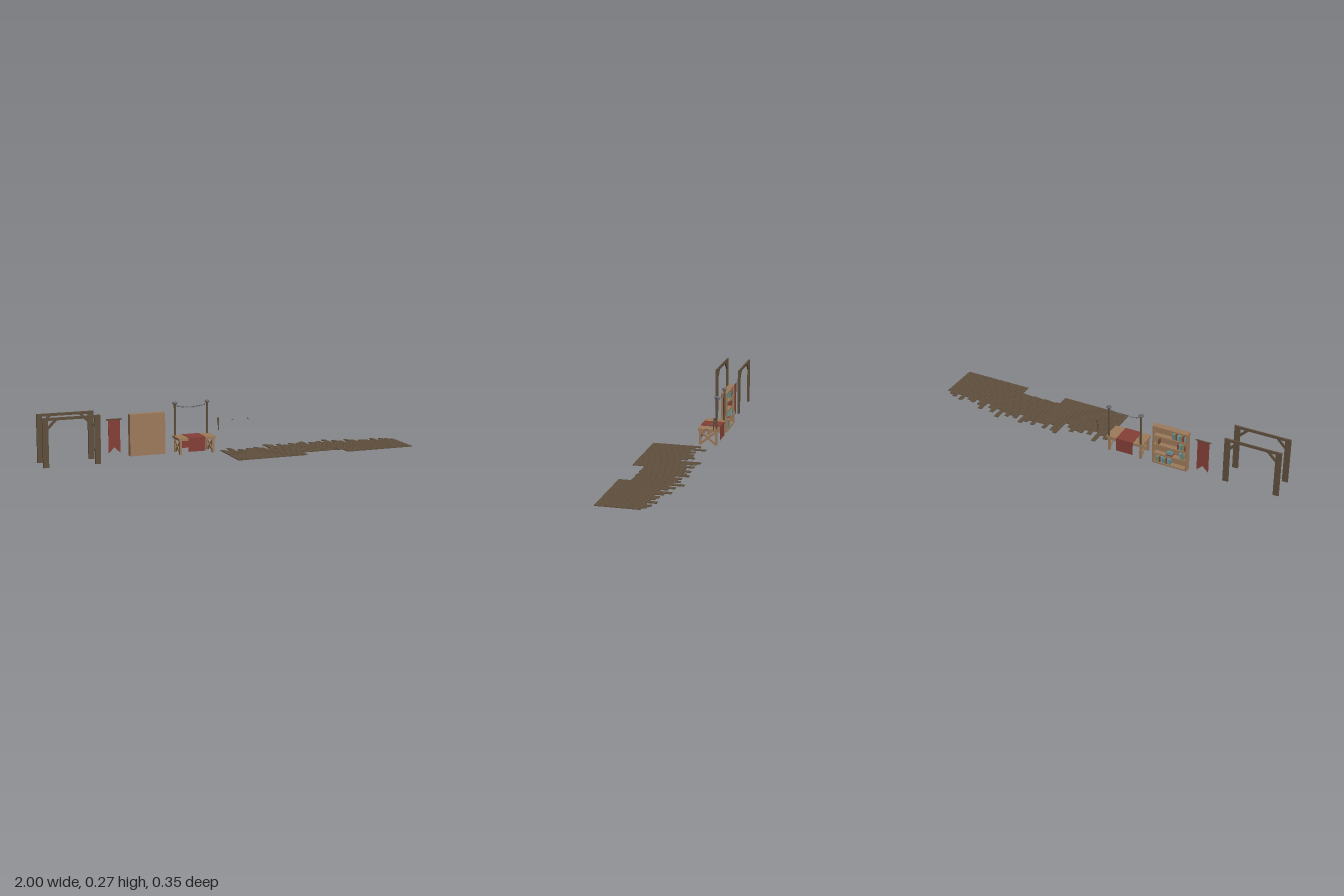
import * as THREE from 'three';

const mat = (color, side = THREE.FrontSide) => new THREE.MeshStandardMaterial({ color, side, flatShading: true });
const darkWood = mat(0x5f4f3c), lightWood = mat(0x9c7a5a), iron = mat(0x66666a);
const cloth = mat(0x843f37, THREE.DoubleSide);
const bookColors = [mat(0x5f8a8c), mat(0x7d8a55), mat(0x84423a), mat(0x6f9aa0)];

function add(parent, name, geo, material, x = 0, y = 0, z = 0) {
  const m = new THREE.Mesh(geo, material);
  m.name = name;
  m.position.set(x, y, z);
  parent.add(m);
  return m;
}
// Box given by its minimum and maximum on each axis
function box(parent, name, material, x0, x1, y0, y1, z0, z1) {
  return add(parent, name, new THREE.BoxGeometry(x1 - x0, y1 - y0, z1 - z0), material,
    (x0 + x1) / 2, (y0 + y1) / 2, (z0 + z1) / 2);
}
// Square bar running from a to b
function bar(parent, name, material, a, b, w, d) {
  const from = new THREE.Vector3(...a), to = new THREE.Vector3(...b);
  const m = add(parent, name, new THREE.BoxGeometry(w, from.distanceTo(to), d), material);
  m.position.copy(from).lerp(to, 0.5);
  m.quaternion.setFromUnitVectors(new THREE.Vector3(0, 1, 0), to.sub(from).normalize());
  return m;
}
function group(parent, name) {
  const g = new THREE.Group();
  g.name = name;
  parent.add(g);
  return g;
}

// Timber gateway: two posts, a beam and corner braces
function buildFrame(root, z) {
  const g = group(root, 'timberFrame');
  const cx = -0.85;
  for (const s of [-1, 1]) {
    const a = cx + s * 0.15, b = cx + s * 0.12;
    box(g, 'framePost', darkWood, Math.min(a, b), Math.max(a, b), 0, 0.254, z - 0.005, z + 0.005);
    bar(g, 'frameBrace', darkWood, [cx + s * 0.122, 0.2, z], [cx + s * 0.08, 0.243, z], 0.013, 0.007);
  }
  box(g, 'frameBeam', darkWood, cx - 0.12, cx + 0.12, 0.24, 0.254, z - 0.004, z + 0.004);
}

// Swallow-tailed banner on a rod
function buildBanner(root) {
  const g = group(root, 'banner');
  const s = new THREE.Shape();
  [[-0.032, 0.2], [-0.032, 0.02], [0, 0.052], [0.032, 0.02], [0.032, 0.2]]
    .forEach(([x, y], i) => (i ? s.lineTo(x, y) : s.moveTo(x, y)));
  add(g, 'bannerCloth', new THREE.ExtrudeGeometry(s, { depth: 0.002, bevelEnabled: false }), cloth, -0.589, 0, -0.146);
  add(g, 'bannerRod', new THREE.CylinderGeometry(0.0035, 0.0035, 0.084, 8), darkWood, -0.589, 0.201, -0.145)
    .rotation.z = Math.PI / 2;
}

// Bookcase, open towards the back
function buildBookcase(root) {
  const g = group(root, 'bookcase');
  const x0 = -0.508, x1 = -0.314, z0 = -0.161, z1 = -0.127, top = 0.222, t = 0.009;
  box(g, 'bookcasePanel', lightWood, x0, x1, 0, top, z1 - 0.006, z1);
  box(g, 'bookcaseSide', lightWood, x0, x0 + t, 0, top, z0, z1 - 0.006);
  box(g, 'bookcaseSide', lightWood, x1 - t, x1, 0, top, z0, z1 - 0.006);
  const pitch = (top - t) / 4;
  for (let i = 0; i <= 4; i++)
    box(g, 'shelf', lightWood, x0 + t, x1 - t, i * pitch, i * pitch + t, z0, z1 - 0.006);
  // Rows of books: shelf, start x, count
  [[0, -0.415, 9], [1, -0.49, 3], [2, -0.495, 5], [2, -0.35, 2], [3, -0.495, 8]].forEach(([row, start, n]) => {
    let x = start;
    for (let i = 0; i < n; i++) {
      const w = 0.007 + (i * 5 % 3) * 0.0015, h = 0.028 + (i * 7 % 4) * 0.0025;
      const y = row * pitch + t;
      box(g, 'book', bookColors[(i * 3 + row) % 4], x, x + w, y, y + h, -0.156, -0.135);
      x += w + 0.0008;
    }
  });
  // Small stack of lying books
  for (let i = 0; i < 3; i++)
    box(g, 'lyingBook', bookColors[(i + 2) % 4], -0.425 + i * 0.003, -0.387 - i * 0.003,
      pitch + t + i * 0.007, pitch + t + i * 0.007 + 0.0065, -0.157, -0.136);
}

// Market table with crossed end braces, runner, lamp posts and chain
function buildStall(root) {
  const g = group(root, 'stall');
  const xl = -0.261, xr = -0.055, zf = -0.061, zb = -0.169;
  box(g, 'tableTop', lightWood, xl, xr, 0.075, 0.089, zb, zf);
  for (const x of [-0.249, -0.067]) {
    for (const z of [-0.071, -0.158])
      box(g, 'tableLeg', lightWood, x - 0.006, x + 0.006, 0, 0.075, z - 0.006, z + 0.006);
    bar(g, 'crossBrace', lightWood, [x - 0.001, 0.006, -0.076], [x - 0.001, 0.069, -0.153], 0.006, 0.011);
    bar(g, 'crossBrace', lightWood, [x + 0.001, 0.069, -0.076], [x + 0.001, 0.006, -0.153], 0.006, 0.011);
    add(g, 'lampPost', new THREE.CylinderGeometry(0.006, 0.006, 0.17, 8), darkWood, x, 0.173, -0.16);
    const profile = [[0, 0], [0.009, 0], [0.0135, 0.004], [0.0135, 0.008], [0.01, 0.012], [0, 0.012]];
    add(g, 'postCap', new THREE.LatheGeometry(profile.map(p => new THREE.Vector2(...p)), 10), iron, x, 0.257, -0.16);
  }
  // Runner over the top, hanging down at both long sides
  box(g, 'runnerTop', cloth, -0.208, -0.113, 0.089, 0.0905, zb - 0.001, zf + 0.001);
  box(g, 'runnerFront', cloth, -0.208, -0.113, 0.015, 0.0905, zf, zf + 0.001);
  box(g, 'runnerBack', cloth, -0.208, -0.113, 0.015, 0.0905, zb - 0.001, zb);
  // Sagging chain of alternating links
  const link = new THREE.TorusGeometry(0.0032, 0.0009, 4, 8);
  const n = 32;
  for (let i = 0; i <= n; i++) {
    const u = i / n * 2 - 1;
    const m = add(g, 'chainLink', link, iron, -0.158 + u * 0.087, 0.237 + 0.013 * u * u, -0.16);
    m.rotation.set(i % 2 ? Math.PI / 2 : 0, 0, 0.2 * u);
    m.scale.x = 1.2;
  }
}

// Slanted torch with a bracket ring, and two loose chain pieces
function buildSmallItems(root) {
  const torch = group(root, 'torch');
  torch.position.set(-0.002, 0.135, -0.161);
  torch.rotation.x = -0.1;
  add(torch, 'torchHandle', new THREE.CylinderGeometry(0.0045, 0.0025, 0.05, 8), darkWood, 0, -0.009, 0);
  add(torch, 'torchHead', new THREE.CylinderGeometry(0.0062, 0.005, 0.018, 8), darkWood, 0, 0.024, 0);
  add(torch, 'torchRing', new THREE.TorusGeometry(0.006, 0.0012, 5, 10), iron, 0, 0.015, 0).rotation.x = Math.PI / 2;
  for (const [x, tilt] of [[0.08, 0.35], [0.168, -0.35]]) {
    const g = group(root, 'looseChain');
    for (let i = -1; i <= 1; i++) {
      const m = add(g, 'looseLink', new THREE.TorusGeometry(0.003, 0.0008, 4, 8), iron,
        x + i * 0.001, 0.154 + i * tilt * 0.005, -0.16 + i * 0.005);
      m.rotation.set(i ? 0.3 : Math.PI / 2, Math.PI / 2, 0);
    }
  }
}

// Plank deck: each plank runs along z and is split into staggered boards
function buildDeck(root, name, x0, x1, backs, front, frontStep) {
  const g = group(root, name);
  const w = (x1 - x0) / backs.length;
  backs.forEach((back, i) => {
    const end = front - frontStep * (i * 5 % 3);
    const cuts = [back, back + (end - back) * (0.28 + 0.09 * (i * 3 % 5)), end];
    for (let k = 0; k < 2; k++)
      box(g, 'plank', darkWood, x0 + i * w + 0.0006, x0 + (i + 1) * w - 0.0006, 0, 0.004,
        cuts[k] + (k ? 0.001 : 0), cuts[k + 1]);
  });
}

export function createModel() {
  const root = new THREE.Group();
  root.name = 'villageProps';
  buildFrame(root, -0.012);
  buildFrame(root, -0.142);
  buildBanner(root);
  buildBookcase(root);
  buildStall(root);
  buildSmallItems(root);
  buildDeck(root, 'leftDeck', 0.61, 1.0,
    [-0.16, -0.09, -0.13, -0.1, -0.065, -0.13, -0.1, -0.06, -0.09, -0.08, -0.06, -0.1, -0.055, -0.085, -0.07, -0.05],
    0.174, 0);
  buildDeck(root, 'middleDeck', 0.375, 0.61,
    [-0.105, -0.14, -0.11, -0.13, -0.15, -0.08, -0.125, -0.11, -0.13, -0.1], 0.112, 0.003);
  buildDeck(root, 'rightDeck', -0.016, 0.375,
    [-0.09, -0.065, -0.13, -0.045, -0.085, -0.055, -0.09, -0.085, -0.105, -0.075, -0.045, -0.155, -0.14, -0.09, -0.14, -0.105],
    0.174, 0);
  return root;
}
